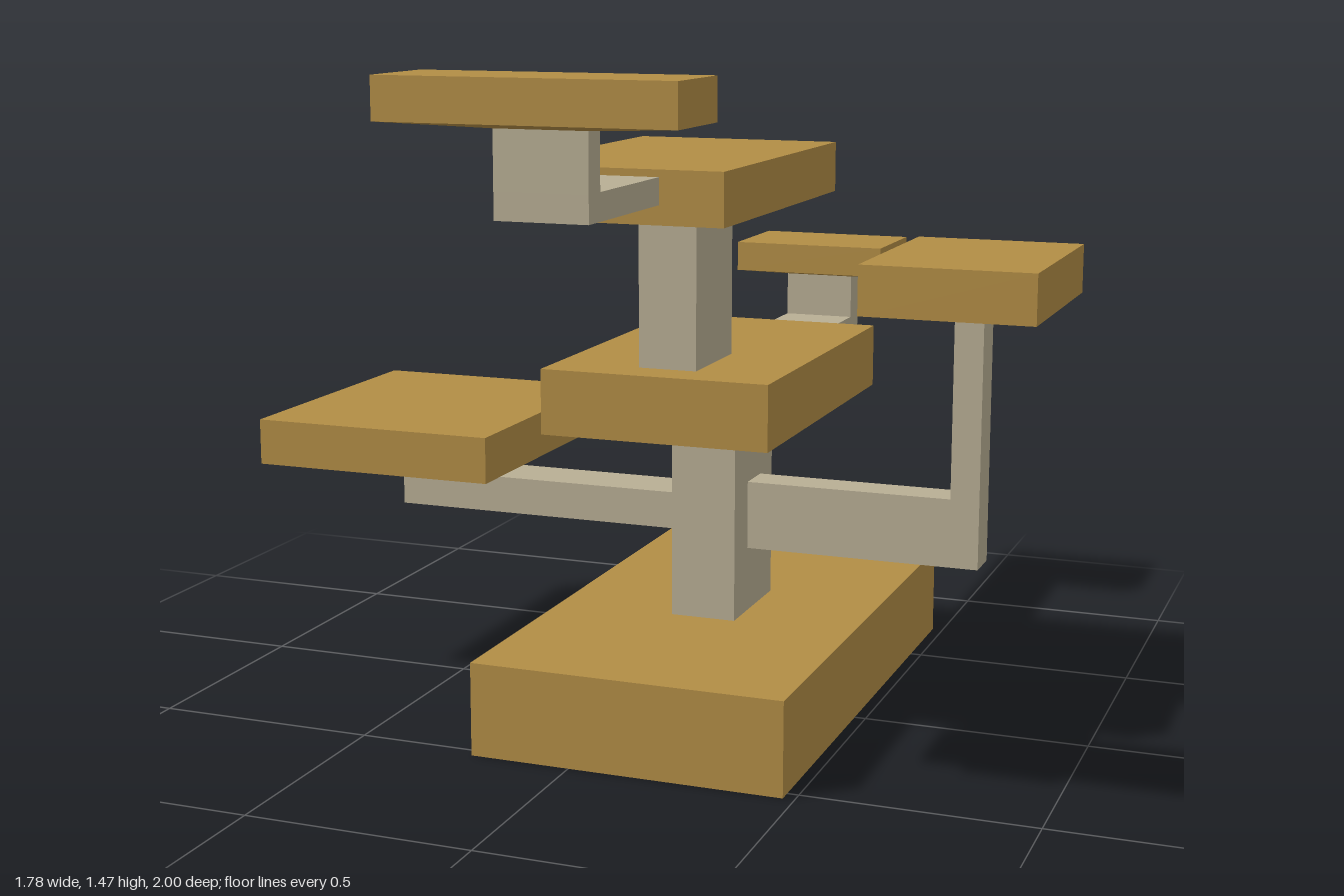
import * as THREE from 'three';

const wood = new THREE.MeshStandardMaterial({ color: 0xb28d45 });
wood.name = 'ochre platform';
const stone = new THREE.MeshStandardMaterial({ color: 0xb8ae94 });
stone.name = 'pale support';

// Stack of rectangular sections [y, x0, x1, z0, z1], closed at both ends, with flat faces
function loft(sections) {
  const pos = [], index = [];
  for (const [y, x0, x1, z0, z1] of sections) {
    pos.push(x0, y, z0, x0, y, z1, x1, y, z1, x1, y, z0);
  }
  for (let s = 0; s < sections.length - 1; s++) {
    for (let i = 0; i < 4; i++) {
      const a = s * 4 + i, b = s * 4 + (i + 1) % 4;
      index.push(a, b, b + 4, a, b + 4, a + 4);
    }
  }
  const t = (sections.length - 1) * 4;
  index.push(0, 2, 1, 0, 3, 2, t, t + 1, t + 2, t, t + 2, t + 3);
  const indexed = new THREE.BufferGeometry();
  indexed.setAttribute('position', new THREE.Float32BufferAttribute(pos, 3));
  indexed.setIndex(index);
  const geo = indexed.toNonIndexed();
  geo.computeVertexNormals();
  return geo;
}

export function createModel() {
  const model = new THREE.Group();
  model.name = 'tieredStand';

  const add = (name, geo, material) => {
    const mesh = new THREE.Mesh(geo, material);
    mesh.name = name;
    model.add(mesh);
    return mesh;
  };

  // Box between two limits on each axis
  const block = (name, [x0, x1], [y0, y1], [z0, z1], material = stone) => {
    const geo = new THREE.BoxGeometry(x1 - x0, y1 - y0, z1 - z0);
    add(name, geo, material).position.set((x0 + x1) / 2, (y0 + y1) / 2, (z0 + z1) / 2);
  };

  // Platform whose underside tapers down to the footprint of its support
  const platform = (name, x, y, z, footY, footX, footZ) =>
    add(name, loft([
      [footY, ...footX, ...footZ],
      [y[0], ...x, ...z],
      [y[1], ...x, ...z],
    ]), wood);

  // Base and central column
  block('base', [-0.225, 0.475], [0, 0.207], [-0.72, 0.53], wood);
  block('lowerColumn', [0.05, 0.2], [0.207, 0.655], [-0.225, 0.04]);
  platform('middlePlatform', [-0.13, 0.38], [0.677, 0.82], [-0.447, 0.36],
    0.655, [0.05, 0.2], [-0.225, 0.04]);
  block('upperColumn', [0.06, 0.19], [0.82, 1.14], [0.04, 0.27]);
  platform('topPlatform', [-0.11, 0.355], [1.165, 1.275], [-0.19, 0.57],
    1.14, [0.06, 0.19], [0.04, 0.27]);

  // Front arm and platform
  block('frontArm', [0.03, 0.22], [1.205, 1.26], [0.57, 0.925]);
  block('frontRiser', [0.03, 0.22], [1.26, 1.375], [0.87, 0.925]);
  platform('frontPlatform', [-0.18, 0.42], [1.387, 1.472], [0.795, 1],
    1.375, [0.03, 0.22], [0.87, 0.925]);

  // Back arm and platform, with a shallow tapered collar on the middle platform
  add('backCollar', loft([
    [0.447, -0.13, 0.38, 0.677, 0.82],
    [0.457, 0.04, 0.21, 0.725, 0.772],
  ]).rotateX(-Math.PI / 2), wood);
  block('backArm', [0.04, 0.21], [0.725, 0.772], [-0.905, -0.457]);
  block('backRiser', [0.04, 0.21], [0.772, 0.877], [-0.905, -0.84]);
  platform('backPlatform', [-0.065, 0.312], [0.893, 0.965], [-1, -0.745],
    0.877, [0.04, 0.21], [-0.905, -0.84]);

  // Left arm and platform
  block('leftArm', [0.2, 0.735], [0.355, 0.51], [-0.14, -0.05]);
  block('leftRiser', [0.67, 0.735], [0.51, 0.92], [-0.14, -0.05]);
  platform('leftPlatform', [0.51, 0.89], [0.94, 1.05], [-0.35, 0.16],
    0.92, [0.67, 0.735], [-0.14, -0.05]);

  // Right arm and platform
  block('rightArm', [-0.665, 0.05], [0.39, 0.475], [-0.165, -0.03]);
  platform('rightPlatform', [-0.895, -0.32], [0.525, 0.63], [-0.43, 0.24],
    0.475, [-0.665, -0.54], [-0.165, -0.03]);

  return model;
}
